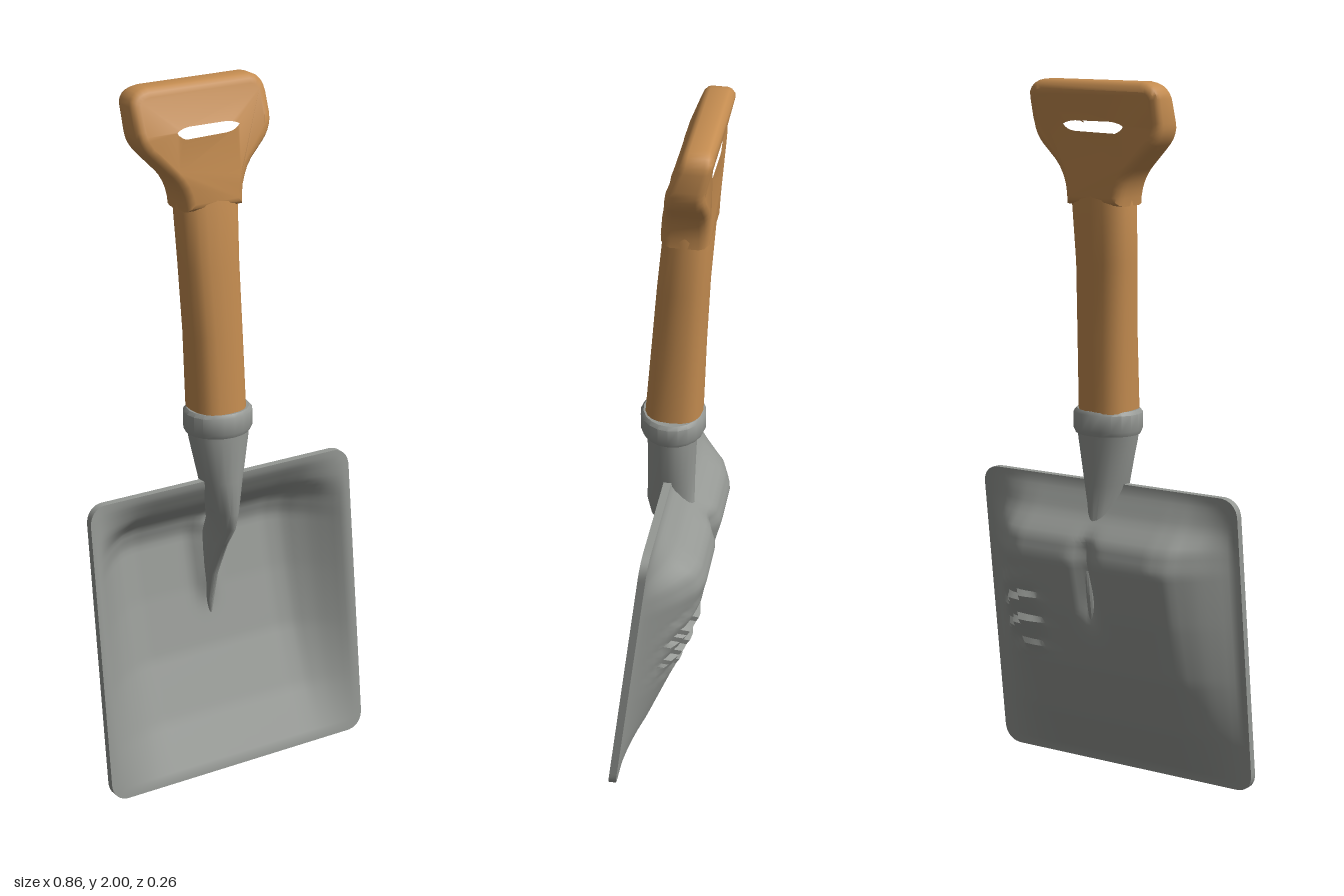
import * as THREE from 'three';
import { toCreasedNormals } from 'three/addons/utils/BufferGeometryUtils.js';

const steel = new THREE.MeshStandardMaterial({ color: 0x959894 });
steel.name = 'grey steel';
const wood = new THREE.MeshStandardMaterial({ color: 0xc48c50 });
wood.name = 'warm wood';

// Linear interpolation through [position, value] pairs
function sample(table, p) {
  for (let i = 1; i < table.length; i++) {
    const [a, va] = table[i - 1], [b, vb] = table[i];
    if (p <= b) return va + (vb - va) * Math.max(0, (p - a) / (b - a));
  }
  return table[table.length - 1][1];
}

// Loft of rounded rings, top to bottom: [y, left x, right x, back z, front z]
function loft(rings, sides, power = 1) {
  const n = rings.length - 1;
  const g = new THREE.CylinderGeometry(1, 1, 1, sides, n);
  const p = g.attributes.position;
  const round = (v) => Math.sign(v) * Math.abs(v) ** power;
  for (let i = 0; i < p.count; i++) {
    const [y, x0, x1, z0, z1] = rings[Math.round((0.5 - p.getY(i)) * n)];
    p.setXYZ(i,
      (x0 + x1) / 2 + round(p.getX(i)) * (x1 - x0) / 2, y,
      (z0 + z1) / 2 + round(p.getZ(i)) * (z1 - z0) / 2);
  }
  return toCreasedNormals(g, 0.75);
}

// Dished square scoop with rounded corners and a thin rim
function bladeGeometry() {
  const N = 56, W = 0.43, H = 0.435, R = 0.05;
  const dish = [[0.015, 0], [0.16, 0.055], [0.33, 0.105], [0.5, 0.135], [0.66, 0.155],
    [0.72, 0.13], [0.78, 0.055], [0.85, 0.005], [0.87, 0]];
  const wall = [[0, 1], [0.22, 1], [0.27, 0.9], [0.33, 0.57], [0.39, 0.15], [0.41, 0], [0.43, 0]];
  const pos = [], idx = [];
  for (const back of [0, 1]) {
    for (let j = 0; j <= N; j++) for (let i = 0; i <= N; i++) {
      let x = W * (2 * i / N - 1), y = H * (2 * j / N - 1);
      const a = Math.abs(x) - (W - R), b = Math.abs(y) - (H - R);
      if (a > 0 && b > 0) {
        const s = Math.max(a, b) / Math.hypot(a, b);
        x = Math.sign(x) * (W - R + a * s);
        y = Math.sign(y) * (H - R + b * s);
      }
      y += H;
      let z = 0.13 - 0.121 * y - 0.022 * back - sample(dish, y) * sample(wall, Math.abs(x));
      // crease pressed in behind the spine
      z += 0.035 * Math.exp(-((x / 0.03) ** 2) - ((y - 0.6) / 0.12) ** 4);
      // curved dents on the back
      if (back) {
        const mask = Math.exp(-(((x - 0.25) / 0.09) ** 4) - ((y - 0.47) / 0.11) ** 4);
        const t = (y + 2.5 * (x - 0.24) ** 2 + 0.3 * x) / 0.075;
        z -= 0.024 * mask * (t - Math.floor(t) - 0.3);
      }
      pos.push(x, y, z);
    }
  }
  const M = (N + 1) ** 2;
  const at = (i, j) => j * (N + 1) + i;
  for (let j = 0; j < N; j++) for (let i = 0; i < N; i++) {
    const a = at(i, j), b = at(i + 1, j), c = at(i + 1, j + 1), d = at(i, j + 1);
    idx.push(a, b, c, a, c, d);
    idx.push(M + a, M + c, M + b, M + a, M + d, M + c);
  }
  // edge strip joining front and back
  const edge = (a, b) => idx.push(a, M + a, M + b, a, M + b, b);
  for (let k = 0; k < N; k++) {
    edge(at(k, 0), at(k + 1, 0));
    edge(at(N, k), at(N, k + 1));
    edge(at(k + 1, N), at(k, N));
    edge(at(0, k + 1), at(0, k));
  }
  const g = new THREE.BufferGeometry();
  g.setAttribute('position', new THREE.Float32BufferAttribute(pos, 3));
  g.setIndex(idx);
  return toCreasedNormals(g, 0.7);
}

// D-shaped grip, leaning back toward the top
function gripGeometry() {
  const s = new THREE.Shape();
  s.moveTo(-0.11, 1.66);
  s.quadraticCurveTo(-0.113, 1.72, -0.15, 1.76);
  s.lineTo(-0.205, 1.815);
  s.quadraticCurveTo(-0.243, 1.85, -0.243, 1.89);
  s.lineTo(-0.245, 1.955);
  s.quadraticCurveTo(-0.24, 1.995, -0.19, 2);
  s.lineTo(0.13, 2);
  s.quadraticCurveTo(0.175, 1.995, 0.177, 1.95);
  s.lineTo(0.177, 1.895);
  s.quadraticCurveTo(0.175, 1.85, 0.145, 1.82);
  s.lineTo(0.105, 1.78);
  s.quadraticCurveTo(0.065, 1.735, 0.069, 1.66);
  const hole = new THREE.Path();
  hole.moveTo(-0.105, 1.835);
  hole.quadraticCurveTo(-0.15, 1.85, -0.152, 1.885);
  hole.quadraticCurveTo(-0.14, 1.91, -0.09, 1.915);
  hole.lineTo(0.03, 1.915);
  hole.quadraticCurveTo(0.09, 1.91, 0.097, 1.88);
  hole.quadraticCurveTo(0.08, 1.842, 0.03, 1.838);
  s.holes.push(hole);
  const g = new THREE.ExtrudeGeometry(s, {
    depth: 1, curveSegments: 5, bevelThickness: 0.4, bevelSize: 0.024,
    bevelOffset: -0.024, bevelSegments: 3,
  });
  const front = [[1.66, 0.035], [1.74, 0.028], [1.88, 0], [1.97, -0.035], [2, -0.042]];
  const back = [[1.66, -0.102], [1.77, -0.104], [1.88, -0.102], [1.97, -0.123], [2, -0.118]];
  const p = g.attributes.position;
  for (let i = 0; i < p.count; i++) {
    const y = p.getY(i), t = (p.getZ(i) + 0.4) / 1.8;
    p.setZ(i, sample(back, y) * (1 - t) + sample(front, y) * t);
  }
  return toCreasedNormals(g, 0.7);
}

export function createModel() {
  const model = new THREE.Group();
  model.name = 'shovel';
  const add = (name, geometry, material) => {
    const mesh = new THREE.Mesh(geometry, material);
    mesh.name = name;
    model.add(mesh);
  };

  add('blade', bladeGeometry(), steel);

  // socket narrowing into a spine on the blade
  add('socket', loft([
    [1.04, -0.1, 0.09, -0.062, 0.08],
    [1, -0.095, 0.087, -0.06, 0.08],
    [0.87, -0.063, 0.063, -0.056, 0.08],
    [0.77, -0.034, 0.043, -0.055, 0.082],
    [0.72, -0.018, 0.036, -0.068, 0.07],
    [0.66, -0.015, 0.028, -0.09, 0.035],
    [0.55, -0.013, 0.02, -0.08, -0.015],
    [0.46, -0.008, 0.014, -0.065, -0.035],
    [0.39, 0, 0.004, -0.05, -0.045],
  ], 20), steel);

  add('collar', loft([
    [1.085, -0.097, 0.085, -0.076, 0.092],
    [1.075, -0.106, 0.094, -0.084, 0.1],
    [1.028, -0.106, 0.094, -0.084, 0.1],
    [1.015, -0.1, 0.088, -0.078, 0.094],
  ], 20), steel);

  add('shaft', loft([
    [1.75, -0.1, 0.06, -0.1, 0.02],
    [1.68, -0.112, 0.071, -0.103, 0.034],
    [1.5, -0.104, 0.065, -0.09, 0.052],
    [1.3, -0.094, 0.067, -0.082, 0.068],
    [1.06, -0.09, 0.069, -0.075, 0.088],
  ], 20, 0.8), wood);

  add('grip', gripGeometry(), wood);
  return model;
}
